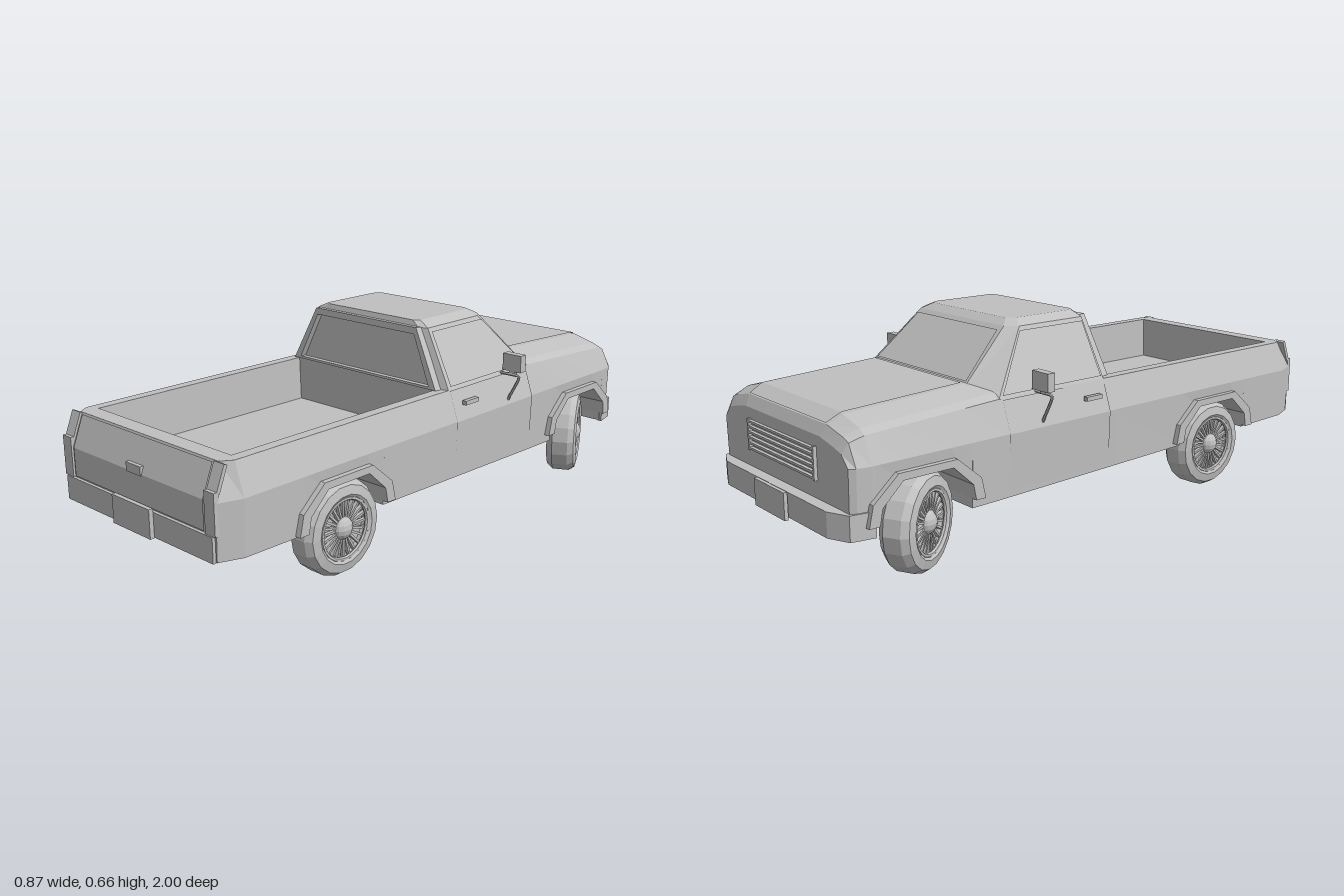
import * as THREE from 'three';

const paint = new THREE.MeshStandardMaterial({ color: 0xc0c0c0, side: THREE.DoubleSide });
paint.name = 'grey paint';

export function createModel() {
  const model = new THREE.Group();
  model.name = 'pickupTruck';

  function add(name, geometry, parent = model) {
    const g = geometry.index ? geometry.toNonIndexed() : geometry;
    g.computeVertexNormals(); // faceted look
    const mesh = new THREE.Mesh(g, paint);
    mesh.name = name;
    parent.add(mesh);
    return mesh;
  }
  function box(name, w, h, d, x, y, z, parent) {
    const mesh = add(name, new THREE.BoxGeometry(w, h, d), parent);
    mesh.position.set(x, y, z);
    return mesh;
  }
  // Skin between mirrored rings of [x, y, z] points, closed at both ends
  function loft(halfRings) {
    const rings = halfRings.map(h => [...h, ...h.slice().reverse().map(([x, y, z]) => [-x, y, z])]);
    const n = rings[0].length, last = rings.length - 1, idx = [];
    for (let i = 0; i < last; i++) for (let j = 0; j < n; j++) {
      const a = i * n + j, b = i * n + (j + 1) % n;
      idx.push(a, a + n, b, b, a + n, b + n);
    }
    for (let j = 0; j < n / 2 - 1; j++) {
      const q = [j, j + 1, n - 2 - j, n - 1 - j];
      idx.push(q[0], q[1], q[2], q[0], q[2], q[3]);
      const [a, b, c, d] = q.map(v => v + last * n);
      idx.push(a, c, b, a, d, c);
    }
    const g = new THREE.BufferGeometry();
    g.setAttribute('position', new THREE.Float32BufferAttribute(rings.flat(2), 3));
    g.setIndex(idx);
    return g;
  }
  // Thin panel from pairs of points
  function strip(name, pairs) {
    const g = new THREE.BufferGeometry(), idx = [];
    g.setAttribute('position', new THREE.Float32BufferAttribute(pairs.flat(2), 3));
    for (let i = 0; i < pairs.length - 1; i++) {
      const a = i * 2;
      idx.push(a, a + 1, a + 2, a + 2, a + 1, a + 3);
    }
    g.setIndex(idx);
    return add(name, g);
  }

  // Lower body: sections from the tailgate to the nose
  const underside = z => 0.16 + 0.03 * Math.max(0, (z + 0.5) / 1.5);
  const arch = [[0.165, 0.19], [0.155, 0.24], [0.085, 0.305], [-0.085, 0.305], [-0.155, 0.24], [-0.165, 0.19]];
  const closed = () => [0.46, 0.33, 0.46, 0.3, 0.46];
  const bed = () => [0.46, 0.31, 0.46, 0.305, 0.31];
  const hood = z => {
    const d = 0.05 * (-z - 0.42);
    return [0.462 - d, 0.325, 0.478 - d, 0.24, 0.5 - d];
  };
  function section(z, top, scale = 1, yBottom = underside(z), lean = 0) {
    const [yTop, xRim, yRim, xIn, yIn] = top(z), u = underside(z);
    return [[0.2, u], [0.2, yBottom], [0.376, yBottom], [0.381, 0.36], [0.347, yTop], [xRim, yRim], [xIn, yIn]]
      .map(([x, y]) => [x * scale, y, z - lean * Math.max(0, (y - 0.36) / 0.1)]);
  }
  const archSections = (c, top) => [
    section(c + 0.165, top),
    ...arch.map(([dz, y]) => section(c + dz, top, 1, y)),
    section(c - 0.165, top),
  ];
  add('body', loft([
    section(0.975, closed, 0.93, undefined, 0.04),
    section(0.9, closed),
    section(0.88, closed),
    section(0.88, bed),
    ...archSections(0.515, bed),
    section(0.04, bed),
    section(0.04, closed),
    section(-0.41, closed),
    section(-0.42, hood),
    ...archSections(-0.71, hood),
    section(-0.885, hood),
    section(-0.93, () => [0.425, 0.32, 0.435, 0.235, 0.453], 0.98),
    section(-0.948, () => [0.395, 0.31, 0.405, 0.23, 0.42], 0.95),
  ]));

  // Cab, roof to belt line
  const ring = (y, pts) => pts.map(([x, z]) => [x, y, z]);
  add('cab', loft([
    ring(0.667, [[0.19, 0.005], [0.21, -0.01], [0.21, -0.24], [0.19, -0.265]]),
    ring(0.648, [[0.22, 0.012], [0.25, 0], [0.25, -0.26], [0.22, -0.297]]),
    ring(0.46, [[0.3, 0.025], [0.347, 0.008], [0.347, -0.42], [0.25, -0.5]]),
  ]));
  strip('windshield', [
    [[-0.24, 0.503, -0.46], [0.24, 0.503, -0.46]],
    [[-0.21, 0.638, -0.314], [0.21, 0.638, -0.314]],
  ]);

  // Rear window frame around the set-back glass
  const poly = pts => pts.map(([x, y]) => new THREE.Vector2(x, y));
  const frame = new THREE.Shape(poly([[-0.325, 0], [0.325, 0], [0.228, 0.19], [-0.228, 0.19]]));
  frame.holes.push(new THREE.Path(poly([[-0.295, 0.008], [-0.22, 0.168], [0.22, 0.168], [0.295, 0.008]])));
  const rearFrame = add('rearWindowFrame', new THREE.ExtrudeGeometry(frame, { depth: 0.028, bevelEnabled: false }));
  rearFrame.position.set(0, 0.46, 0.02);
  rearFrame.rotation.x = -0.08;

  // Hood panel
  strip('hoodPanel', [
    [[-0.235, 0.501, -0.475], [0.235, 0.501, -0.475]],
    [[-0.232, 0.481, -0.884], [0.232, 0.481, -0.884]],
    [[-0.225, 0.457, -0.93], [0.225, 0.457, -0.93]],
  ]);

  // Grille
  for (let i = 0; i < 6; i++) box('grilleSlat', 0.38, 0.007, 0.012, 0, 0.295 + i * 0.017, -0.953);
  for (const s of [-1, 1]) box('grilleEnd', 0.008, 0.1, 0.012, s * 0.194, 0.3375, -0.953);

  // Bumpers and number plates
  const bumper = new THREE.Shape(poly([
    [0.37, 0.88], [0.385, 0.88], [0.37, 0.955], [0.3, 0.985],
    [-0.3, 0.985], [-0.37, 0.955], [-0.385, 0.88], [-0.37, 0.88], [-0.34, 0.93], [0.34, 0.93],
  ]));
  const bumperGeo = new THREE.ExtrudeGeometry(bumper, { depth: 0.077, bevelEnabled: false });
  bumperGeo.rotateX(-Math.PI / 2);
  add('frontBumper', bumperGeo).position.y = 0.156;
  box('frontPlate', 0.18, 0.085, 0.012, 0, 0.192, -0.994);
  box('rearBumper', 0.69, 0.077, 0.03, 0, 0.226, 0.97);
  box('rearPlate', 0.177, 0.09, 0.014, 0, 0.231, 0.993);

  // Tailgate panel and latch
  strip('tailgatePanel', [
    [[-0.305, 0.27, 0.979], [0.305, 0.27, 0.979]],
    [[-0.305, 0.36, 0.979], [0.305, 0.36, 0.979]],
    [[-0.305, 0.456, 0.941], [0.305, 0.456, 0.941]],
  ]);
  box('tailgateLatch', 0.068, 0.028, 0.012, 0, 0.37, 0.976);

  // Wheel, outer face toward +x
  const tyreProfile = poly([
    [0, -0.052], [0.13, -0.052], [0.15, -0.03], [0.15, 0.025], [0.136, 0.046],
    [0.108, 0.052], [0.1, 0.047], [0.095, 0.02], [0, 0.02],
  ]);
  function wheel(name, side, z, turn) {
    const g = new THREE.Group();
    g.name = name;
    const tyre = new THREE.LatheGeometry(tyreProfile, 18);
    tyre.rotateZ(-Math.PI / 2);
    add('tyre', tyre, g);
    const rim = new THREE.TorusGeometry(0.095, 0.007, 6, 24);
    rim.rotateY(Math.PI / 2);
    add('rim', rim, g).position.x = 0.042;
    for (let i = 0; i < 24; i++) {
      const spoke = new THREE.BoxGeometry(0.012, 0.062, 0.007);
      spoke.translate(0.032, 0.064, 0);
      spoke.rotateX(i * Math.PI / 12);
      add('spoke', spoke, g);
    }
    const hub = new THREE.SphereGeometry(0.038, 14, 8);
    hub.scale(0.9, 1, 1);
    add('hub', hub, g).position.x = 0.026;
    g.position.set(side * 0.332, 0.15, z);
    g.rotation.y = turn + (side < 0 ? Math.PI : 0);
    model.add(g);
  }

  // Wheel arch trim
  const flare = new THREE.Shape(poly([
    [-0.2, 0.19], [-0.185, 0.255], [-0.1, 0.328], [0.1, 0.328], [0.185, 0.255], [0.2, 0.19], ...arch,
  ]));

  for (const s of [-1, 1]) {
    wheel('rearWheel', s, 0.515, 0);
    wheel('frontWheel', s, -0.71, 0.48);
    for (const z of [0.515, -0.71]) {
      const g = new THREE.ExtrudeGeometry(flare, { depth: 0.026, bevelEnabled: false });
      g.rotateY(Math.PI / 2);
      add('archTrim', g).position.set(s > 0 ? 0.37 : -0.396, 0, z);
    }
    // Door, side window and handle
    strip('door', [[0.379, 0.185], [0.385, 0.36], [0.351, 0.458]].map(([x, y]) => [[s * x, y, 0.005], [s * x, y, -0.408]]));
    strip('sideWindow', [
      [[s * 0.347, 0.47, -0.003], [s * 0.347, 0.47, -0.405]],
      [[s * 0.261, 0.637, -0.008], [s * 0.261, 0.637, -0.268]],
    ]);
    box('doorHandle', 0.016, 0.014, 0.066, s * 0.38, 0.416, -0.067);

    // Tail light
    box('tailLight', 0.042, 0.125, 0.016, s * 0.334, 0.328, 0.974);
    const upper = box('tailLightTop', 0.042, 0.08, 0.012, s * 0.334, 0.422, 0.952);
    upper.rotation.x = -0.38;

    // Door mirror on its bracket
    box('mirror', 0.073, 0.058, 0.028, s * 0.391, 0.505, -0.285);
    box('mirrorFoot', 0.024, 0.014, 0.014, s * 0.391, 0.471, -0.28);
    const path = new THREE.CurvePath();
    const pts = [[0.345, 0.464], [0.42, 0.464], [0.418, 0.45], [0.378, 0.375]].map(([x, y]) => new THREE.Vector3(s * x, y, -0.275));
    for (let i = 0; i < 3; i++) path.add(new THREE.LineCurve3(pts[i], pts[i + 1]));
    add('mirrorBracket', new THREE.TubeGeometry(path, 18, 0.005, 6));
  }
  return model;
}
